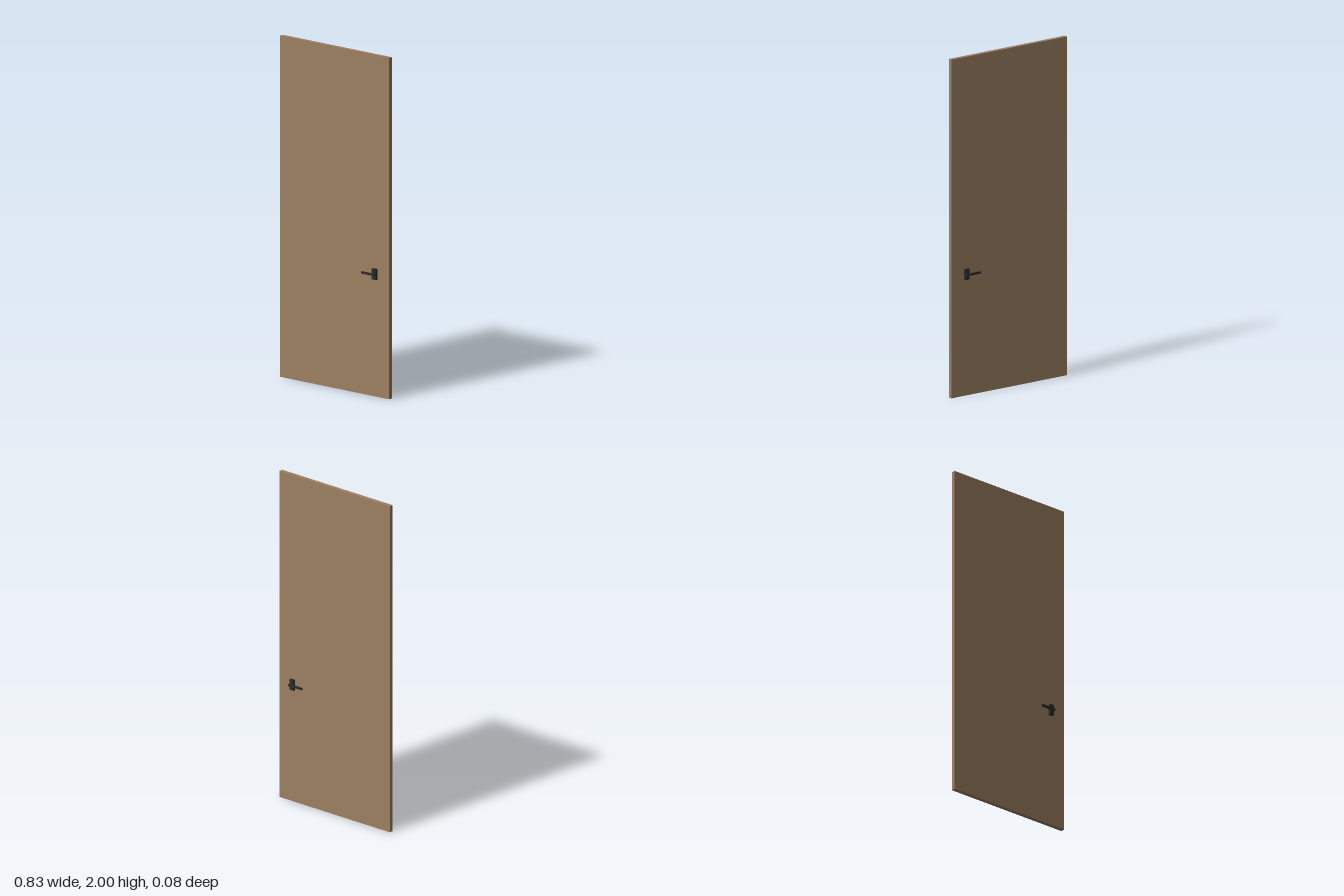
import * as THREE from 'three';

export function createModel() {
  const wood = new THREE.MeshStandardMaterial({ color: 0x9c8062 });
  wood.name = 'brown wood';
  const metal = new THREE.MeshStandardMaterial({ color: 0x2b2b2a });
  metal.name = 'dark metal';

  const model = new THREE.Group();
  model.name = 'door';

  const addBox = (parent, name, material, size, position) => {
    const mesh = new THREE.Mesh(new THREE.BoxGeometry(...size), material);
    mesh.name = name;
    mesh.position.set(...position);
    parent.add(mesh);
  };

  // Flat door leaf
  addBox(model, 'doorLeaf', wood, [0.834, 2, 0.025], [0, 1, 0]);

  // Matching handles: a backplate on the leaf and a lever just proud of it
  for (const [name, side] of [['frontHandle', 1], ['backHandle', -1]]) {
    const handle = new THREE.Group();
    handle.name = name;
    handle.position.set(0.312, 0.718, 0);
    addBox(handle, 'backplate', metal, [0.03, 0.064, 0.015], [0, 0, side * 0.0195]);
    addBox(handle, 'lever', metal, [0.1, 0.0125, 0.009], [-0.036, 0, side * 0.036]);
    model.add(handle);
  }

  return model;
}
